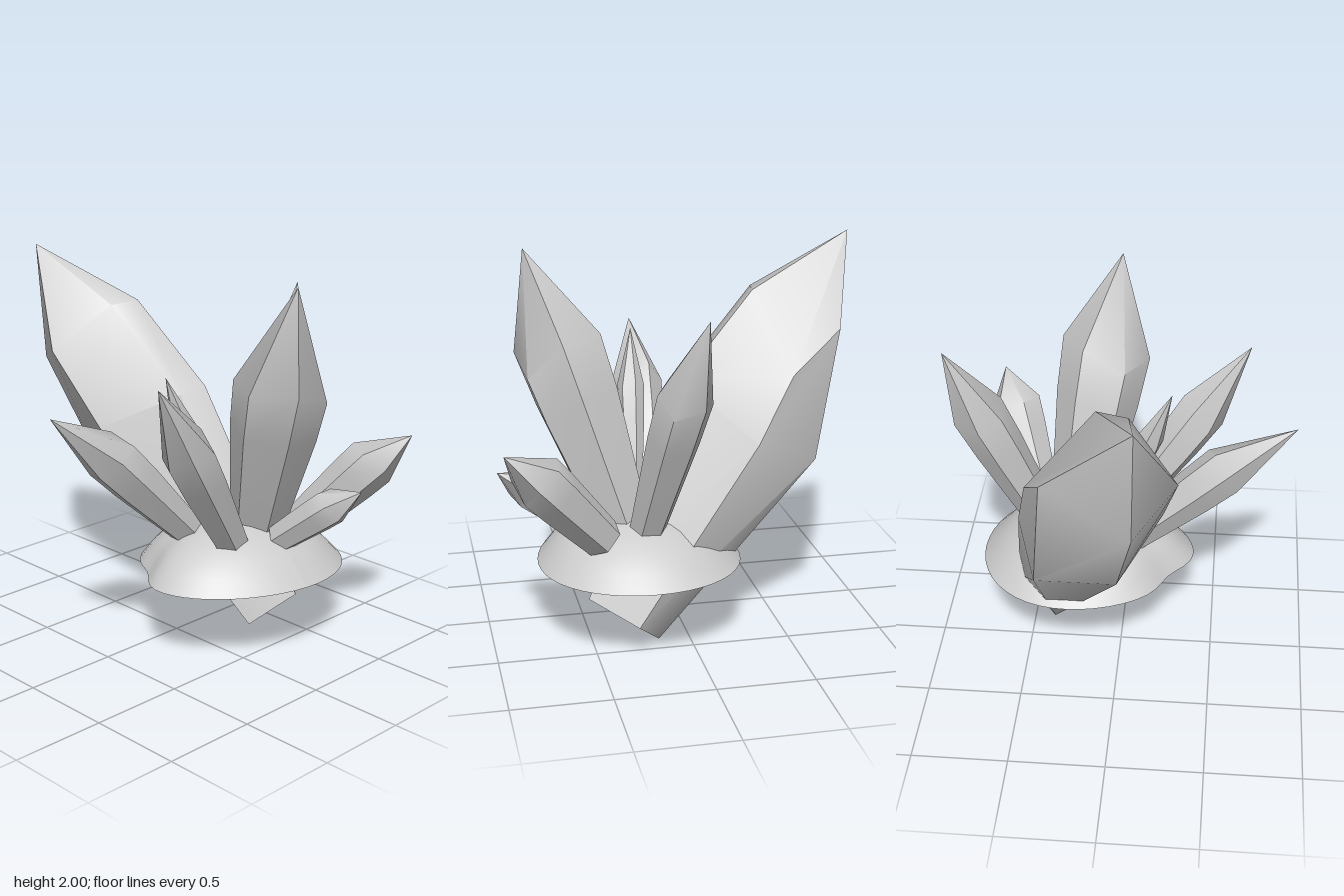
import * as THREE from 'three';
import { toCreasedNormals } from 'three/addons/utils/BufferGeometryUtils.js';

const V = (x, y, z) => new THREE.Vector3(x, y, z);
const material = new THREE.MeshStandardMaterial({ color: 0xcccccc, side: THREE.DoubleSide });

// Skin a stack of rings (base first), closing the base and meeting at the tip.
function crystalGeometry(rings, tip) {
  const pos = [];
  const tri = (...pts) => pts.forEach((p) => pos.push(p.x, p.y, p.z));
  const n = rings[0].length;
  const centre = rings[0].reduce((s, p) => s.add(p), V(0, 0, 0)).divideScalar(n);
  for (let i = 0; i < n; i++) {
    const j = (i + 1) % n;
    tri(rings[0][j], rings[0][i], centre);
    for (let k = 0; k < rings.length - 1; k++) {
      const a = rings[k], b = rings[k + 1];
      tri(a[i], a[j], b[j]);
      tri(a[i], b[j], b[i]);
    }
    const last = rings[rings.length - 1];
    tri(last[i], last[j], tip);
  }
  const geo = new THREE.BufferGeometry();
  geo.setAttribute('position', new THREE.Float32BufferAttribute(pos, 3));
  return toCreasedNormals(geo, 0.8);
}

// A six-sided ring around a centre, square to an axis, slightly irregular.
function ring(centre, axis, radius, turn, wobble) {
  const u = V(0, 0, 1).cross(axis).normalize();
  const w = axis.clone().cross(u).normalize();
  return Array.from({ length: 6 }, (_, i) => {
    const a = turn + (i * Math.PI) / 3;
    return centre.clone()
      .addScaledVector(u, radius * Math.cos(a))
      .addScaledVector(w, radius * Math.sin(a))
      .addScaledVector(axis, wobble * Math.sin(i * 2.3 + turn));
  });
}

function crystal({ base, shoulder, tip, r0, r1, turn = 0 }) {
  const b = V(...base), s = V(...shoulder), t = V(...tip);
  const axis = s.clone().sub(b).normalize();
  const mid = b.clone().lerp(s, 0.72);
  return crystalGeometry([
    ring(b, axis, r0, turn, 0),
    ring(mid, axis, r0 + (r1 - r0) * 0.85, turn, r1 * 0.15),
    ring(s, axis, r1, turn, r1 * 0.3),
  ], t);
}

// Open dome, deeper on its left half, with a dent in the rim at the back right.
function domeGeometry() {
  const profile = [[0.585, 0.42], [0.51, 0.5], [0.44, 0.56], [0.34, 0.62], [0.2, 0.67], [0.1, 0.685], [0, 0.69]];
  const geo = new THREE.LatheGeometry(profile.map(([r, y]) => new THREE.Vector2(r, y)), 48);
  const p = geo.attributes.position;
  for (let i = 0; i < p.count; i++) {
    const x = p.getX(i), z = p.getZ(i), r = Math.hypot(x, z);
    const away = Math.atan2(-z, -x) - 0.5;
    const dent = 1 - 0.2 * r * Math.exp(-((away / 0.32) ** 2));
    p.setX(i, x * dent);
    p.setZ(i, z * dent * (0.88 + 0.22 * x));
  }
  geo.computeVertexNormals();
  return geo;
}

export function createModel() {
  const group = new THREE.Group();
  const add = (name, geo) => {
    const mesh = new THREE.Mesh(geo, material);
    mesh.name = name;
    group.add(mesh);
    return mesh;
  };

  // Domed base
  add('rockDome', domeGeometry()).position.set(0.195, 0, 0.24);

  // Great leaning crystal that pierces the dome
  const great = [
    [[0.18, 0.09, 0.37], [0.34, 0.22, 0.49], [0.38, 0.25, 0.52], [0.61, 0.17, 0.3], [0.39, 0, 0.16], [0.32, 0.03, 0.22]],
    [[-0.24, 1.12, -0.33], [0.05, 1.31, -0.02], [0.21, 1.33, 0], [0.495, 1.05, -0.33], [0.38, 0.92, -0.66], [-0.03, 0.92, -0.66]],
    [[-0.32, 1.5, -0.61], [-0.07, 1.74, -0.42], [0.09, 1.75, -0.39], [0.43, 1.38, -0.52], [0.32, 1.58, -0.79], [-0.12, 1.38, -0.91]],
  ].map((row) => row.map((p) => V(...p)));
  add('greatCrystal', crystalGeometry(great, V(-0.13, 2, -0.96)));

  // Smaller crystals fanning out of the dome
  const crystals = {
    tallFrontCrystal: { base: [0.28, 0.58, 0.31], shoulder: [0.13, 1.5, 0.61], tip: [0.05, 2, 0.77], r0: 0.14, r1: 0.24 },
    upperRightCrystal: { base: [0.06, 0.55, 0.38], shoulder: [-0.4, 1.22, 0.48], tip: [-0.65, 1.59, 0.55], r0: 0.085, r1: 0.135 },
    lowerRightCrystal: { base: [0, 0.58, 0.13], shoulder: [-0.55, 1.13, 0.09], tip: [-0.9, 1.4, 0.07], r0: 0.085, r1: 0.135, turn: 0.4 },
    thinCrystal: { base: [0.1, 0.62, 0.23], shoulder: [-0.14, 1.22, 0.2], tip: [-0.25, 1.5, 0.18], r0: 0.04, r1: 0.07, turn: 0.2 },
    leftCrystal: { base: [0.42, 0.6, 0.23], shoulder: [0.74, 1.38, 0.1], tip: [0.9, 1.79, 0.02], r0: 0.09, r1: 0.14, turn: 0.5 },
    bluntFrontCrystal: { base: [0.49, 0.62, 0.46], shoulder: [0.66, 1.02, 0.8], tip: [0.74, 1.16, 0.96], r0: 0.105, r1: 0.137, turn: 0.1 },
    smallFrontCrystal: { base: [0.24, 0.61, 0.52], shoulder: [0.305, 0.855, 0.82], tip: [0.35, 0.95, 0.96], r0: 0.08, r1: 0.1, turn: 0.2 },
  };
  for (const [name, spec] of Object.entries(crystals)) add(name, crystal(spec));

  return group;
}
